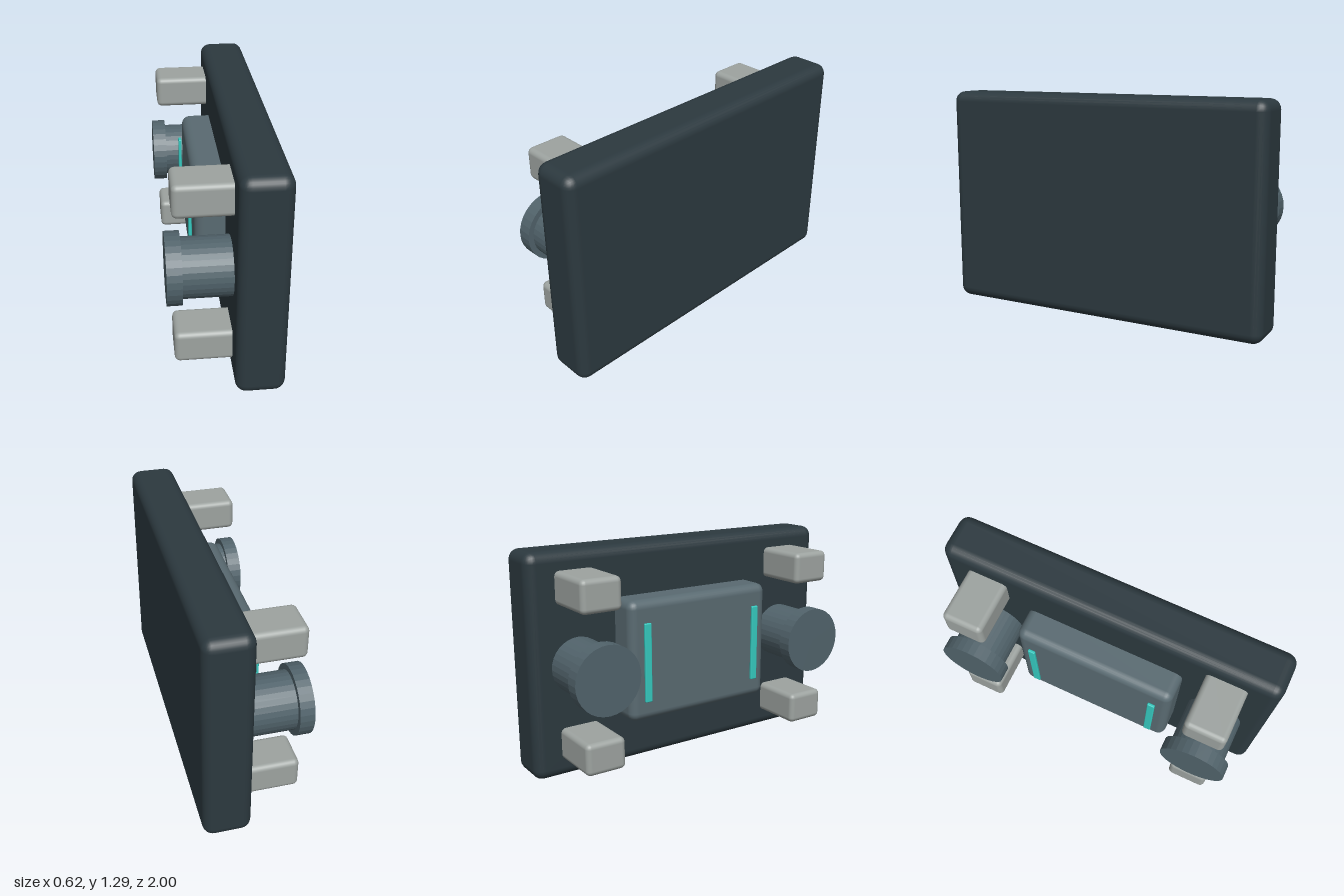
import * as THREE from 'three';
import { RoundedBoxGeometry } from 'three/addons/geometries/RoundedBoxGeometry.js';

const material = (name, color) => {
  const m = new THREE.MeshStandardMaterial({ color });
  m.name = name;
  return m;
};

export function createModel() {
  const model = new THREE.Group();
  model.name = 'wallPanel';
  const dark = material('dark slate', 0x2c393f);
  const slate = material('blue grey', 0x51636b);
  const panel = material('panel grey', 0x596a71);
  const pale = material('pale grey', 0x9da3a0);
  const teal = material('teal', 0x35c9bf);

  const add = (name, geometry, mat, x, y, z) => {
    const mesh = new THREE.Mesh(geometry, mat);
    mesh.name = name;
    mesh.position.set(x, y, z);
    model.add(mesh);
    return mesh;
  };

  // Box given by its extents, with softened edges
  const roundedBox = (name, mat, [x0, x1], [y0, y1], [z0, z1], radius) =>
    add(name, new RoundedBoxGeometry(x1 - x0, y1 - y0, z1 - z0, 3, radius), mat,
      (x0 + x1) / 2, (y0 + y1) / 2, (z0 + z1) / 2);

  // Faceted cylinder lying along x
  const drum = (name, mat, radius, x0, x1, y, z) => {
    const g = new THREE.CylinderGeometry(radius, radius, x1 - x0, 32).rotateZ(Math.PI / 2).toNonIndexed();
    g.computeVertexNormals();
    add(name, g, mat, (x0 + x1) / 2, y, z);
  };

  const midY = 0.645;

  // Main slab and the raised plate on its inner face
  roundedBox('slab', dark, [0.035, 0.305], [0, 1.29], [-1, 1], 0.06);
  roundedBox('raisedPlate', panel, [-0.133, 0.12], [0.295, 1.0], [-0.48, 0.475], 0.05);

  for (const side of [-1, 1]) {
    const end = side < 0 ? 'Back' : 'Front';

    // Round post with a wider cap
    const postZ = side * 0.713 - 0.003;
    drum('post' + end, slate, 0.163, -0.23, 0.3, midY, postZ);
    drum('postCap' + end, slate, 0.196, -0.31, -0.229, midY, postZ);

    // Corner blocks above and below the post
    const blockZ = side * 0.715 - 0.005;
    for (const [level, y0] of [['Upper', 1.0], ['Lower', 0.11]]) {
      roundedBox('block' + level + end, pale, [-0.275, 0.1], [y0, y0 + 0.185],
        [blockZ - 0.12, blockZ + 0.12], 0.03);
    }

    // Glowing strip in front of the raised plate
    add('lightStrip' + end, new RoundedBoxGeometry(0.018, 0.46, 0.044, 2, 0.006), teal,
      -0.151, midY, side * 0.376 - 0.003);
  }
  return model;
}
